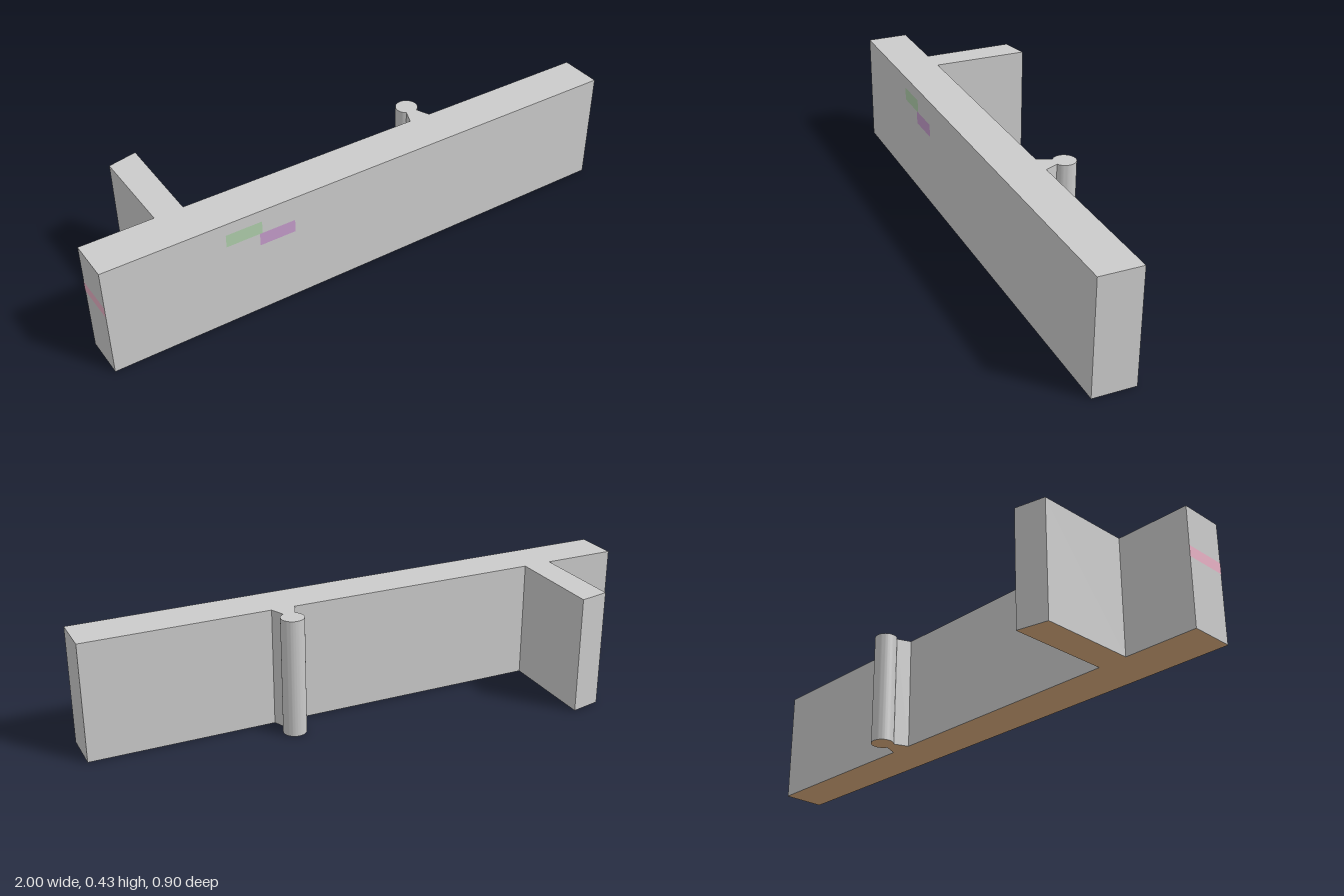
import * as THREE from 'three';
import { toCreasedNormals } from 'three/addons/utils/BufferGeometryUtils.js';

const HEIGHT = 0.435;
const LIFT = 0.001;

function material(color, side = THREE.FrontSide) {
  return new THREE.MeshStandardMaterial({ color, side });
}

// Plan outline, drawn as (x, -z): slanted wall, round post on a neck, side wall
function planShape() {
  const s = new THREE.Shape();
  s.moveTo(-1, -0.3);
  s.lineTo(-0.94, -0.45);
  s.lineTo(1, 0.3);
  s.lineTo(0.94, 0.45);
  s.lineTo(0.31, 0.207);
  const deg = Math.PI / 180;
  s.absarc(0.24, 0.275, 0.042, 317 * deg, 616 * deg, false);
  s.lineTo(0.23, 0.177);
  s.lineTo(-0.645, -0.16);
  s.lineTo(-0.78, 0.193);
  s.lineTo(-0.875, 0.13);
  s.lineTo(-0.745, -0.2);
  s.closePath();
  return s;
}

// Thin upright coloured patch between two plan points a and b (x, z)
function patch(name, color, a, b, y0, y1) {
  const dx = b[0] - a[0], dz = b[1] - a[1];
  const mesh = new THREE.Mesh(
    new THREE.PlaneGeometry(Math.hypot(dx, dz), y1 - y0),
    material(color)
  );
  mesh.name = name;
  mesh.rotation.y = Math.atan2(-dz, dx);
  mesh.position.set((a[0] + b[0]) / 2, (y0 + y1) / 2, (a[1] + b[1]) / 2);
  mesh.translateZ(LIFT);
  return mesh;
}

export function createModel() {
  const group = new THREE.Group();
  group.name = 'wallSection';
  const shape = planShape();

  // Solid walls
  const solid = new THREE.ExtrudeGeometry(shape, {
    depth: HEIGHT - LIFT, bevelEnabled: false, curveSegments: 24,
  });
  solid.rotateX(-Math.PI / 2).translate(0, LIFT, 0);
  const walls = new THREE.Mesh(toCreasedNormals(solid, 0.6), material(0xcccccc));
  walls.name = 'walls';
  group.add(walls);

  // Brown underside
  const base = new THREE.ShapeGeometry(shape, 24).rotateX(-Math.PI / 2);
  const underside = new THREE.Mesh(base, material(0xe0b080, THREE.BackSide));
  underside.name = 'underside';
  group.add(underside);

  // Coloured patches on the front face and on the end
  const front = (x) => [x, 0.45 - 0.3866 * (x + 0.94)];
  group.add(
    patch('greenPatch', 0xaeccaa, front(-0.52), front(-0.39), 0.34, 0.39),
    patch('purplePatch', 0xc29bc8, front(-0.4), front(-0.27), 0.29, 0.34),
    patch('pinkPatch', 0xe8b0c4, [-1, 0.3], [-0.94, 0.45], 0.25, 0.29)
  );
  return group;
}
